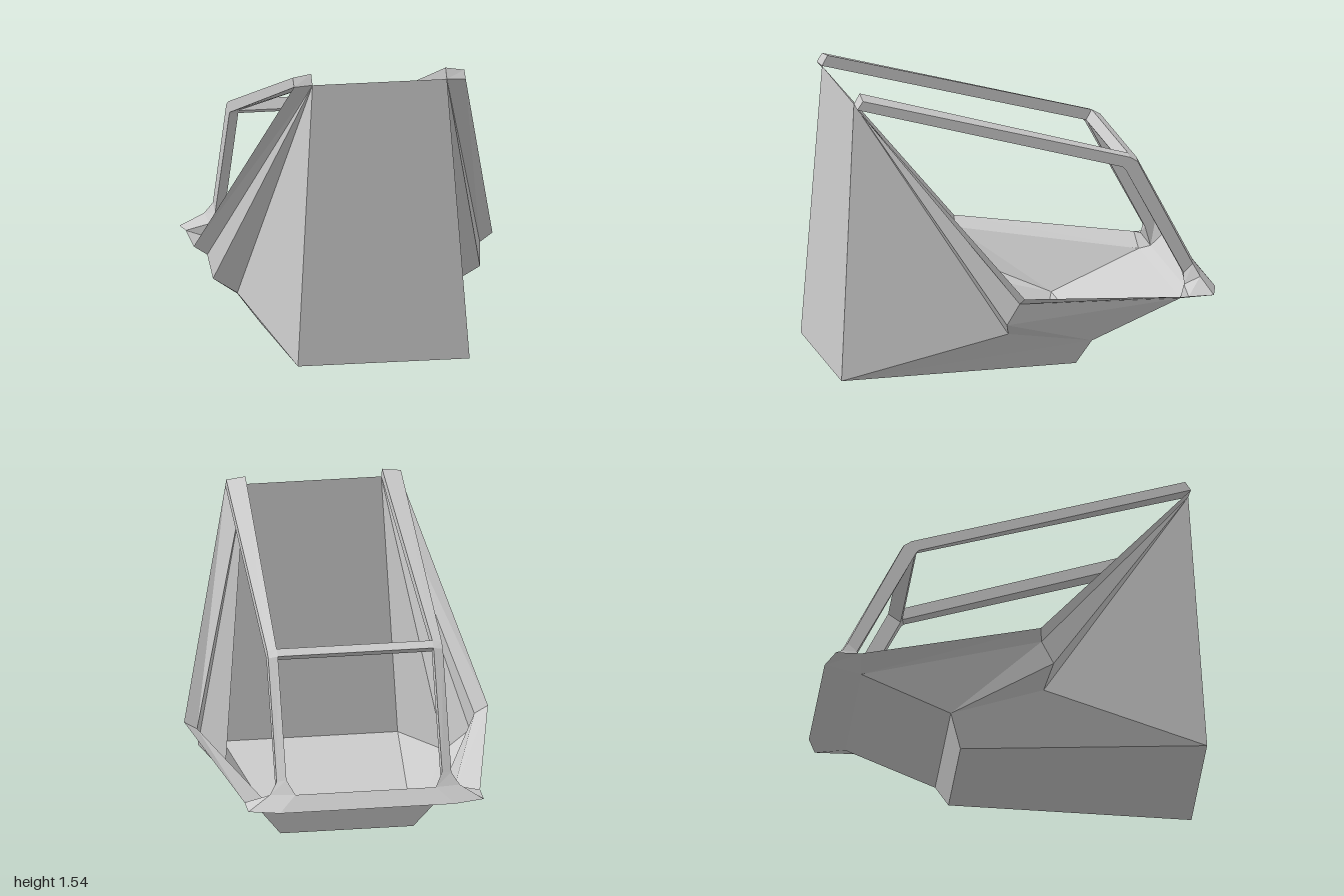
import * as THREE from 'three';

const material = new THREE.MeshStandardMaterial({
  color: 0xcccccc, flatShading: true, side: THREE.DoubleSide,
});

// Flat polygons (each a loop of [x, y, z] corners) as one mesh.
function panels(name, faces) {
  const positions = [];
  for (const face of faces) {
    for (let i = 1; i < face.length - 1; i++) {
      positions.push(...face[0], ...face[i], ...face[i + 1]);
    }
  }
  const geometry = new THREE.BufferGeometry();
  geometry.setAttribute('position', new THREE.Float32BufferAttribute(positions, 3));
  geometry.computeVertexNormals();
  const mesh = new THREE.Mesh(geometry, material);
  mesh.name = name;
  return mesh;
}

const flip = ([x, y, z]) => [-x, y, z];
const mirrorFaces = (faces) => faces.map((face) => face.map(flip).reverse());

// Faces of a bar running through matching cross-sections, capped at both ends.
function loft(sections) {
  const faces = [[...sections[0]].reverse(), sections[sections.length - 1]];
  for (let s = 0; s < sections.length - 1; s++) {
    const a = sections[s], b = sections[s + 1], n = a.length;
    for (let i = 0; i < n; i++) {
      const j = (i + 1) % n;
      faces.push([a[i], a[j], b[j], b[i]]);
    }
  }
  return faces;
}

export function createModel() {
  const group = new THREE.Group();

  // Corners of the tub on the left (+x) side
  const noseBottom = [0.46, 0.02, 1.0];
  const noseTop = [0.36, 1.49, 0.91];
  const noseTopOuter = [0.46, 1.485, 0.915];
  const floorBack = [0.35, 0, -0.28];
  const backLow = [0.46, 0.15, -0.34];
  const backHigh = [0.47, 0.35, -0.81];
  const sideLow = [0.575, 0.25, 0.135];
  const sideMid = [0.715, 0.34, 0.175];
  const rimInner = [0.73, 0.455, 0.11];
  const rimOuter = [0.8, 0.5, 0.1];

  // Corners of the rear sill
  const sillFront = [0.62, 0.4, -0.82];
  const sillSide = [0.62, 0.4, -0.955];
  const sillBack = [0.46, 0.4, -1.0];
  const baseFront = [0.49, 0.43, -0.825];
  const baseBack = [0.5, 0.47, -0.91];
  const sillTop = [0.37, 0.475, -0.94];
  const sillInner = [0.41, 0.38, -0.86];

  // Plates spanning both sides
  const span = (a, b) => [a, b, flip(b), flip(a)];
  group.add(panels('frontPlate', [span(noseBottom, noseTop)]));
  group.add(panels('floor', [span(floorBack, noseBottom)]));
  group.add(panels('backPlate', [span(backLow, floorBack), span(backHigh, backLow)]));
  group.add(panels('rearSill', [
    span(sillBack, backHigh), span(sillTop, sillBack),
    span(sillInner, sillTop), span(backHigh, sillInner),
  ]));

  // Folded side walls with their flared rim
  const wall = [
    [noseBottom, sideLow, noseTop],
    [noseBottom, floorBack, backLow, sideLow],
    [sideLow, backLow, sideMid],
    [sideMid, backLow, backHigh, rimInner],
    [sideLow, sideMid, noseTop],
    [sideMid, rimInner, noseTop],
  ];
  const rim = [
    [rimInner, backHigh, sillFront, rimOuter],
    [rimInner, rimOuter, noseTopOuter, noseTop],
  ];
  // Wedge at the rear corner that carries the pillar
  const corner = [
    [backHigh, sillBack, sillSide, sillFront],
    [sillSide, sillBack, baseBack],
    [sillBack, sillTop, baseBack],
    [sillFront, sillSide, baseBack, baseFront],
    [backHigh, sillFront, baseFront],
    [backHigh, baseFront, sillInner],
  ];
  // Roof rail bending down into the pillar: inner top, outer top, outer bottom, inner bottom
  const rail = loft([
    [[0.36, 1.545, 0.88], [0.46, 1.53, 0.885], noseTopOuter, noseTop],
    [[0.41, 1.14, -0.545], [0.46, 1.13, -0.545], [0.46, 1.08, -0.505], [0.41, 1.085, -0.515]],
    [[0.41, 1.115, -0.59], [0.46, 1.105, -0.585], [0.46, 1.065, -0.52], [0.41, 1.07, -0.525]],
    [[0.41, 0.54, -0.89], [0.46, 0.53, -0.88], [0.46, 0.485, -0.83], [0.41, 0.485, -0.83]],
    [sillTop, baseBack, baseFront, sillInner],
  ]);

  const parts = { SideWall: wall, SideRim: rim, RearCorner: corner, RoofRail: rail };
  for (const [name, faces] of Object.entries(parts)) {
    group.add(panels('left' + name, faces));
    group.add(panels('right' + name, mirrorFaces(faces)));
  }

  // Bar joining the rails at the bend
  const barEnd = [[0.41, 1.14, -0.545], [0.41, 1.085, -0.515], [0.41, 1.07, -0.525], [0.41, 1.115, -0.59]];
  group.add(panels('crossBar', loft([barEnd, barEnd.map(flip)])));

  return group;
}
